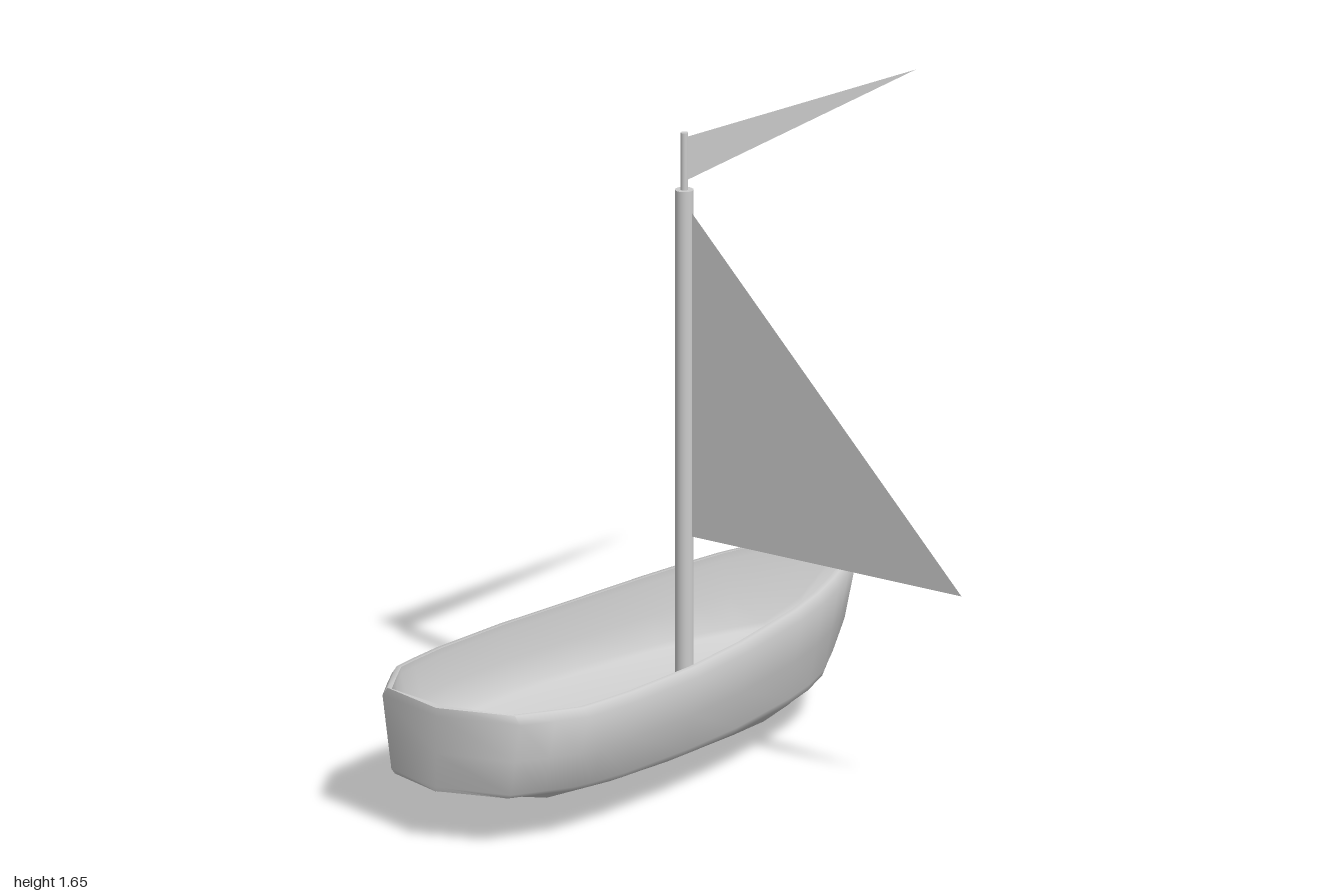
import * as THREE from 'three';
import { toCreasedNormals } from 'three/addons/utils/BufferGeometryUtils.js';

const CENTRE_Z = -0.288;
const MAST = { x: 0.02, z: -0.265 };

// Hull stations: x, gunwale half-width, gunwale y, chine half-width, chine y, keel y
const STATIONS = [
  [-1.0, 0, 0.36, 0, 0.138, 0.135],
  [-0.935, 0.22, 0.36, 0.19, 0.136, 0.128],
  [-0.85, 0.27, 0.36, 0.23, 0.134, 0.112],
  [-0.77, 0.315, 0.36, 0.266, 0.132, 0.087],
  [-0.7, 0.323, 0.36, 0.277, 0.13, 0.055],
  [-0.58, 0.332, 0.36, 0.288, 0.128, 0.024],
  [-0.32, 0.328, 0.36, 0.287, 0.125, 0.006],
  [-0.08, 0.303, 0.363, 0.265, 0.12, 0],
  [0.2, 0.262, 0.373, 0.22, 0.12, 0.002],
  [0.33, 0.233, 0.38, 0.187, 0.12, 0.006],
  [0.44, 0.2, 0.388, 0.15, 0.125, 0.022],
  [0.52, 0.168, 0.393, 0.117, 0.15, 0.058],
  [0.62, 0.12, 0.402, 0.08, 0.21, 0.148],
  [0.7, 0.07, 0.41, 0.045, 0.3, 0.262],
  [0.74, 0.04, 0.413, 0.022, 0.36, 0.33],
  [0.787, 0, 0.418, 0, 0.412, 0.405],
];

const mix = (a, b, t) => [a[0] + (b[0] - a[0]) * t, a[1] + (b[1] - a[1]) * t];

// Half section from rim to keel, with a small bevel at the chine
function halfSection(w, top, chineW, chineY, keelY, rim) {
  const gunwale = [w, top - 0.1 * (top - chineY)];
  const chine = [chineW, chineY];
  const keel = [0, keelY];
  return [
    [Math.max(w - rim, 0), top], gunwale, mix(gunwale, chine, 0.5),
    mix(gunwale, chine, 0.95), mix(chine, keel, 0.05), mix(chine, keel, 0.55), keel,
  ];
}

// Full section from the left rim under the keel to the right rim
function fullSection(half) {
  const right = half.slice(0, -1).reverse().map(([w, y]) => [-w, y]);
  return [...half, ...right];
}

// Closed ring: outer skin down and up, then the inner wall and dished floor back
function hullRing([x, w, top, cw, cy, ky]) {
  const t = 0.03;
  const shrink = (v) => Math.max(v - t, 0);
  const raise = (y, floor) => Math.min(Math.max(y + t, floor), top - 0.003);
  const outer = fullSection(halfSection(w, top, cw, cy, ky, 0.016));
  const inner = fullSection(
    halfSection(shrink(w), top, shrink(cw + 0.01), raise(cy, 0.19), raise(ky, 0.13), 0),
  ).reverse();
  const innerX = THREE.MathUtils.clamp(x, -0.975, 0.755);
  const place = (px) => ([z, y]) => {
    const keelShift = 0.045 * Math.max(0, 1 - y / 0.13);
    return [px, y, CENTRE_Z + z + keelShift];
  };
  return [...outer.map(place(x)), ...inner.map(place(innerX))];
}

function hullGeometry() {
  const rings = STATIONS.map(hullRing);
  const n = rings[0].length;
  const index = [];
  for (let i = 0; i < rings.length - 1; i++) {
    for (let j = 0; j < n; j++) {
      const k = (j + 1) % n;
      const a = i * n + j, b = i * n + k, c = b + n, d = a + n;
      index.push(a, b, c, a, c, d);
    }
  }
  const geometry = new THREE.BufferGeometry();
  geometry.setAttribute('position', new THREE.Float32BufferAttribute(rings.flat(2), 3));
  geometry.setIndex(index);
  return toCreasedNormals(geometry, 1.15);
}

function triangle(points) {
  const shape = new THREE.Shape(points.map(([x, y]) => new THREE.Vector2(x, y)));
  return new THREE.ShapeGeometry(shape);
}

export function createModel() {
  const model = new THREE.Group();
  const solid = new THREE.MeshStandardMaterial({ color: 0xcccccc });
  const cloth = new THREE.MeshStandardMaterial({ color: 0xcccccc, side: THREE.DoubleSide });

  const add = (name, geometry, material) => {
    const mesh = new THREE.Mesh(geometry, material);
    mesh.name = name;
    model.add(mesh);
    return mesh;
  };
  const pole = (name, radius, bottom, top) =>
    add(name, new THREE.CylinderGeometry(radius, radius, top - bottom, 24), solid)
      .position.set(MAST.x, (top + bottom) / 2, MAST.z);

  add('hull', hullGeometry(), solid);

  // Mast stands on the hull floor, with a thin pole on top
  pole('mast', 0.024, 0.12, 1.498);
  pole('flagPole', 0.01, 1.49, 1.65);

  // Sail lies across the boat, its shape drawn in z and y
  const sail = add('sail', triangle([[0.242, 0.576], [0.242, 1.441], [-0.622, 0.576]]), cloth);
  sail.rotation.y = Math.PI / 2;
  sail.position.x = MAST.x;

  // Pennant streams towards the bow
  const pennant = add('pennant', triangle([[0.028, 1.52], [1, 1.578], [0.028, 1.636]]), cloth);
  pennant.position.z = MAST.z;

  return model;
}
